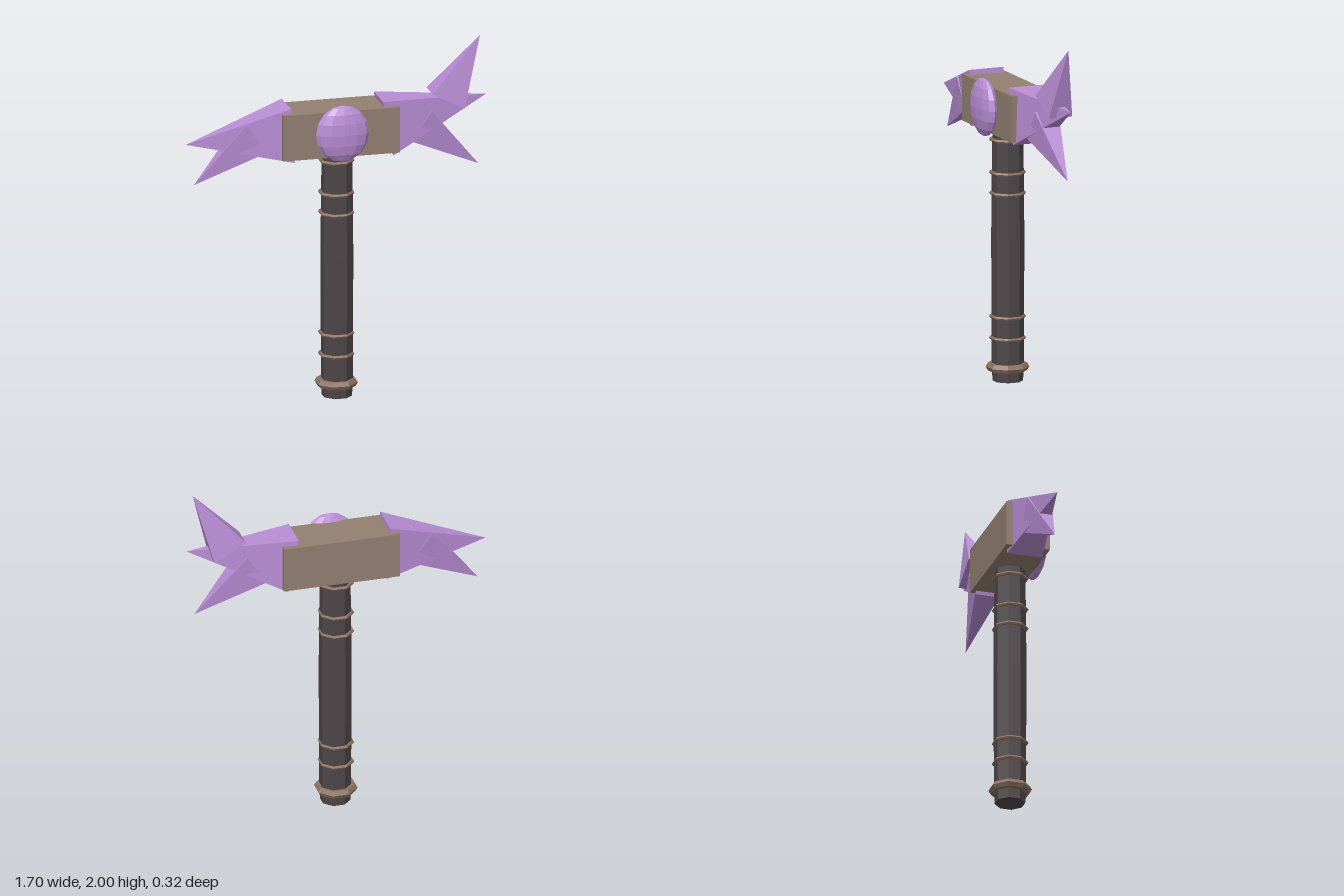
import * as THREE from 'three';
import { ConvexGeometry } from 'three/addons/geometries/ConvexGeometry.js';

const AXIS_Z = -0.037;

function material(name, color) {
  const m = new THREE.MeshStandardMaterial({ color, flatShading: true });
  m.name = name;
  return m;
}

// Four-sided pyramid: two ends of the base in the xy plane, half depth in z, and a tip
function spikeGeometry([ax, ay], [bx, by], [tx, ty], h) {
  const points = [];
  for (const s of [-1, 1]) {
    points.push(new THREE.Vector3(ax, ay, AXIS_Z + s * h), new THREE.Vector3(bx, by, AXIS_Z + s * h));
  }
  points.push(new THREE.Vector3(tx, ty, AXIS_Z));
  return new ConvexGeometry(points);
}

export function createModel() {
  const group = new THREE.Group();
  const crystal = material('purple crystal', 0xb98dd5);
  const block = material('brown block', 0x937f72);
  const band = material('brown band', 0x8c7261);
  const wood = material('dark grip', 0x4e4649);

  const add = (name, geometry, mat, x = 0, y = 0, z = 0) => {
    const mesh = new THREE.Mesh(geometry, mat);
    mesh.name = name;
    mesh.position.set(x, y, z);
    group.add(mesh);
    return mesh;
  };

  // Handle: slightly bulging eight-sided shaft with closed ends
  const shaft = [[0, 0], [0.084, 0], [0.088, 0.1], [0.091, 0.8], [0.088, 1.15], [0.084, 1.41], [0, 1.41]]
    .map(([r, y]) => new THREE.Vector2(r, y));
  add('handle', new THREE.LatheGeometry(shaft, 8, Math.PI / 8), wood, 0.005, 0, AXIS_Z);

  // Thin bands around the handle and a thick one at the foot
  const ring = (name, y, radius, tube) => {
    const geometry = new THREE.TorusGeometry(radius, tube, 6, 8);
    geometry.rotateX(Math.PI / 2).rotateY(Math.PI / 8);
    add(name, geometry, band, 0.001, y, AXIS_Z);
  };
  [0.24, 0.36, 1.05, 1.165, 1.35].forEach((y) => ring('handleBand', y, 0.091, 0.01));
  ring('pommelBand', 0.078, 0.095, 0.025);

  // Head block
  add('headBlock', new THREE.BoxGeometry(0.66, 0.26, 0.248), block, 0, 1.53, -0.038);

  // Faceted oval gem on the front
  const gem = new THREE.SphereGeometry(1, 12, 8);
  gem.scale(0.15, 0.162, 0.052);
  add('frontGem', gem, crystal, 0, 1.54, 0.104);

  // Large side spikes
  add('leftMainSpike', spikeGeometry([0.24, 1.69], [0.3, 1.38], [0.85, 1.66], 0.102), crystal);
  add('rightMainSpike', spikeGeometry([-0.28, 1.69], [-0.26, 1.38], [-0.85, 1.5], 0.102), crystal);

  // Small spikes pointing down, mirrored
  for (const s of [1, -1]) {
    add(s > 0 ? 'leftLowerSpike' : 'rightLowerSpike',
      spikeGeometry([s * 0.525, 1.605], [s * 0.41, 1.44], [s * 0.805, 1.265], 0.07), crystal);
  }

  // Single spike pointing up
  add('upperSpike', spikeGeometry([0.53, 1.7], [0.71, 1.605], [0.815, 2.0], 0.07), crystal);

  return group;
}
